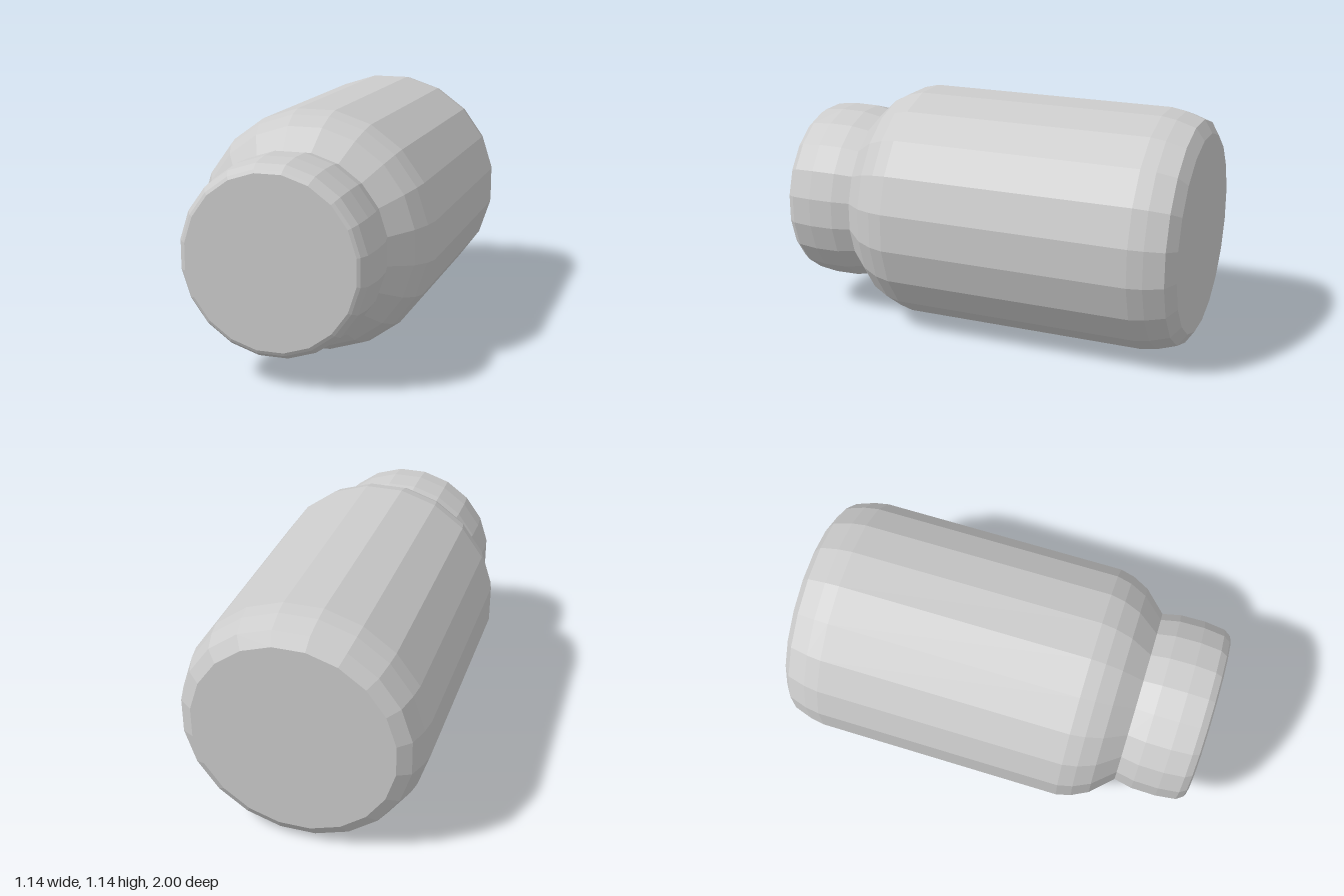
import * as THREE from 'three';

const CENTER_Y = 0.573;

// Faceted solid of revolution along z from [radius, z] pairs, back to front
function turned(name, profile, sides) {
  const half = Math.PI / sides; // half a step, so flats face up, down and sideways
  const points = profile.map(([r, z]) => new THREE.Vector2(r, z));
  const geometry = new THREE.LatheGeometry(points, sides, half);
  geometry.rotateX(Math.PI / 2);
  const material = new THREE.MeshStandardMaterial({ color: 0xcccccc, flatShading: true });
  const mesh = new THREE.Mesh(geometry, material);
  mesh.name = name;
  mesh.position.y = CENTER_Y;
  return mesh;
}

export function createModel() {
  const group = new THREE.Group();
  group.name = 'bottle';

  // Body: flat base, rounded rim, straight wall, sloped shoulder
  group.add(turned('body', [
    [0, -1], [0.475, -1], [0.535, -0.96], [0.565, -0.87], [0.577, -0.8],
    [0.577, 0.4], [0.56, 0.47], [0.52, 0.55], [0.42, 0.655], [0, 0.655],
  ], 20));

  // Cap: slightly bulging side and a flat, softened end
  group.add(turned('cap', [
    [0, 0.65], [0.423, 0.65], [0.442, 0.74], [0.444, 0.86],
    [0.432, 0.96], [0.41, 0.992], [0.395, 1], [0, 1],
  ], 20));

  return group;
}
